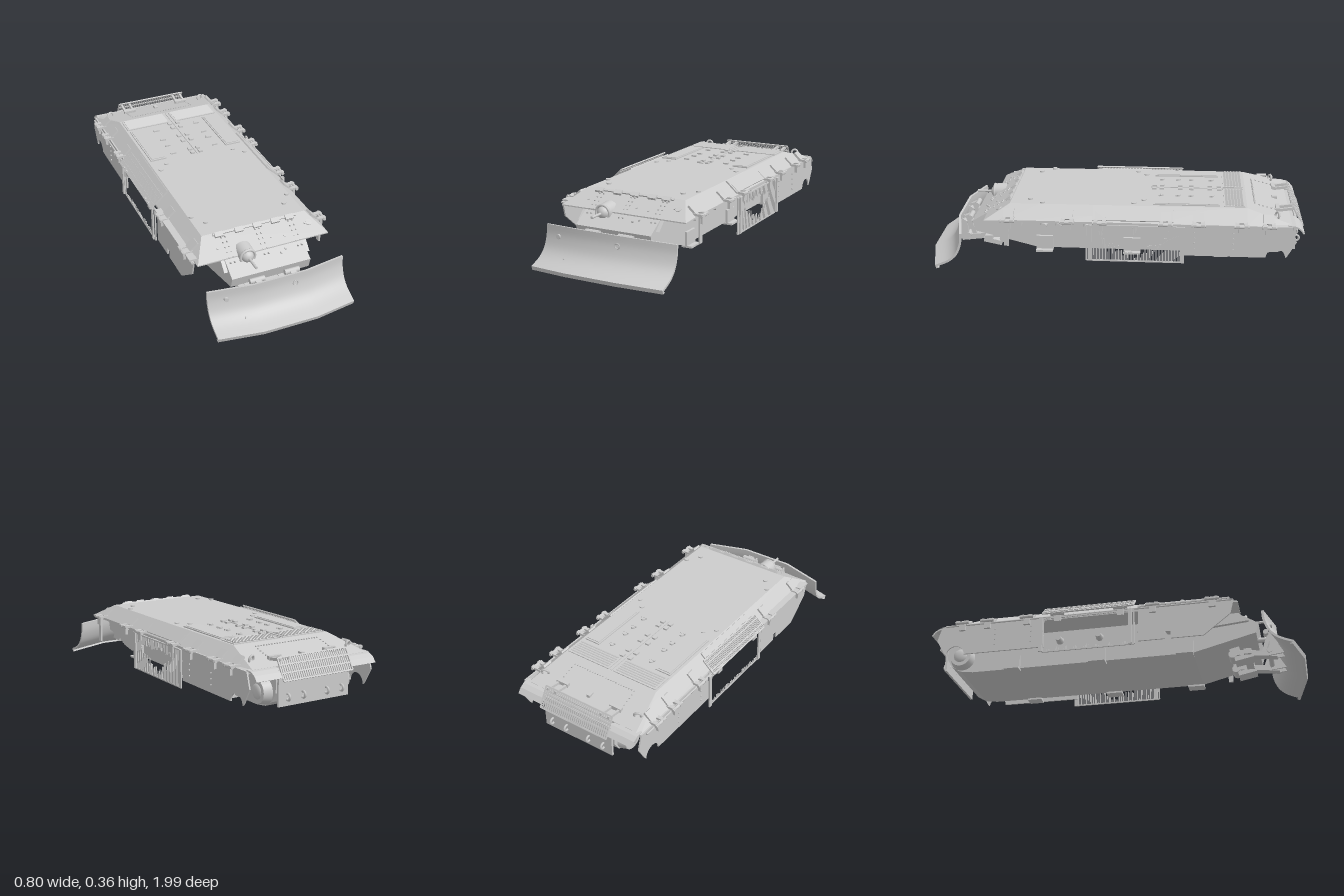
import * as THREE from 'three';
import { toCreasedNormals } from 'three/addons/utils/BufferGeometryUtils.js';

const mat = new THREE.MeshStandardMaterial({ color: 0xcccccc, side: THREE.DoubleSide });

function add(parent, name, geo, x = 0, y = 0, z = 0, rx = 0, ry = 0, rz = 0) {
  const m = new THREE.Mesh(geo, mat);
  m.name = name;
  m.position.set(x, y, z);
  m.rotation.set(rx, ry, rz);
  parent.add(m);
  return m;
}
const box = (w, h, d) => new THREE.BoxGeometry(w, h, d);
const cyl = (r, h, n = 12, r2 = r) => new THREE.CylinderGeometry(r2, r, h, n);
function group(parent, name, x = 0, y = 0, z = 0, rx = 0, ry = 0, rz = 0) {
  const g = new THREE.Group();
  g.name = name;
  g.position.set(x, y, z);
  g.rotation.set(rx, ry, rz);
  parent.add(g);
  return g;
}

// skin over matching rings of [x, y, z], closed at both ends
function loft(rings, crease = 0.5) {
  const pos = [], n = rings[0].length;
  const quad = (a, b, c, d) => pos.push(...a, ...b, ...c, ...a, ...c, ...d);
  for (let i = 0; i + 1 < rings.length; i++)
    for (let j = 0; j < n; j++) {
      const k = (j + 1) % n;
      quad(rings[i][j], rings[i + 1][j], rings[i + 1][k], rings[i][k]);
    }
  const s = rings[0], e = rings[rings.length - 1];
  for (let i = 0; i + 1 < n / 2; i++) {
    quad(s[i], s[i + 1], s[n - 2 - i], s[n - 1 - i]);
    quad(e[n - 1 - i], e[n - 2 - i], e[i + 1], e[i]);
  }
  const g = new THREE.BufferGeometry();
  g.setAttribute('position', new THREE.Float32BufferAttribute(pos, 3));
  return toCreasedNormals(g, crease);
}

// plate drawn as a shape in (z, y), given thickness along x and centred on x = 0
function sidePlate(shape, t) {
  const g = new THREE.ExtrudeGeometry(shape, { depth: t, bevelEnabled: false, curveSegments: 12 });
  return g.translate(0, 0, -t / 2).rotateY(-Math.PI / 2);
}
const poly = pts => new THREE.Shape(pts.map(p => new THREE.Vector2(p[0], p[1])));

function buildHull(root) {
  const hull = group(root, 'hull');
  const ring = (z, w, ys, t, yt) =>
    [[-w, 0.268, z], [w, 0.268, z], [w, ys, z], [t, yt, z], [-t, yt, z], [-w, ys, z]];
  add(hull, 'upperHull', loft([
    ring(0.68, 0.36, 0.273, 0.358, 0.274), ring(0.55, 0.36, 0.28, 0.285, 0.346),
    ring(-0.69, 0.36, 0.28, 0.285, 0.35), ring(-0.92, 0.36, 0.278, 0.335, 0.285)], 0.1));
  add(hull, 'lowerHull', sidePlate(poly([[0.42, 0.07], [0.755, 0.155], [0.77, 0.21], [0.66, 0.278],
    [-0.94, 0.275], [-0.94, 0.16], [-0.91, 0.11], [-0.86, 0.08], [-0.79, 0.07]]), 0.43));
  add(hull, 'rearPlate', box(0.42, 0.18, 0.012), 0, 0.185, -0.95);
  for (const s of [-1, 1]) {
    add(hull, 'finalDrive', cyl(0.07, 0.05, 28, 0.058), s * 0.235, 0.155, -0.85, 0, 0, -s * Math.PI / 2);
    add(hull, 'finalDriveHub', new THREE.SphereGeometry(0.04, 16, 10), s * 0.255, 0.155, -0.85).scale.x = 0.4;
    for (const z of [0.38, 0.3, 0.15, -0.08, -0.3, -0.52])
      add(hull, 'rollerStub', cyl(0.022, 0.05, 12, 0.015), s * 0.235, 0.21, z, 0, 0, -s * Math.PI / 2);
    for (const [z, w] of [[0.38, 0.09], [-0.09, 0.09], [-0.56, 0.08]]) {
      add(hull, 'suspensionBracket', box(0.014, 0.08, w), s * 0.222, 0.1, z);
      add(hull, 'suspensionFoot', box(0.06, 0.01, w), s * 0.225, 0.062, z);
    }
    // curved rear mudguard
    add(hull, 'rearMudguard', sidePlate(poly([[-0.9, 0.286], [-0.94, 0.282], [-0.965, 0.268], [-0.985, 0.243],
      [-0.979, 0.24], [-0.96, 0.262], [-0.935, 0.274], [-0.9, 0.276]]), 0.15), s * 0.28, 0, 0);
    for (const x of [0.07, 0.16])
      add(hull, 'towLug', new THREE.TorusGeometry(0.016, 0.006, 6, 14), s * x, 0.14, -0.963, 0, Math.PI / 2, 0);
  }
}

function buildDeck(root) {
  const deck = group(root, 'deck', 0, 0.351, 0);
  for (const s of [-1, 1]) {
    // engine louvres
    add(deck, 'louvreFrame', box(0.26, 0.006, 0.11), s * 0.145, 0, -0.625);
    for (let i = 0; i < 6; i++)
      add(deck, 'louvre', box(0.24, 0.003, 0.014), s * 0.145, 0.005, -0.665 + i * 0.016, 0.5);
    add(deck, 'longPanel', box(0.09, 0.008, 0.35), s * 0.225, 0, -0.375);
    add(deck, 'longPanelLid', box(0.074, 0.004, 0.33), s * 0.225, 0.005, -0.375);
    for (const z of [-0.55, -0.5, -0.4, -0.34, -0.24, -0.2])
      add(deck, 'hinge', box(0.022, 0.01, 0.024), s * 0.024, 0.002, z);
    for (const z of [-0.51, -0.4, -0.33, -0.24]) {
      add(deck, 'cap', cyl(0.012, 0.008), s * 0.125, 0.002, z);
      add(deck, 'capHandle', box(0.032, 0.008, 0.008), s * 0.125, 0.003, z + 0.01);
    }
    for (const [x, z] of [[0.2, -0.15], [0.25, -0.1], [0.22, 0.45], [0.27, 0.38]])
      add(deck, 'plug', cyl(0.013, 0.008, 16), s * x, -0.001, z);
    // rear slope fittings
    const slope = group(deck, 'rearSlopeFittings', 0, -0.032, -0.805, -0.275);
    for (let i = 0; i < 12; i++) add(slope, 'bolt', cyl(0.004, 0.006, 6), s * (0.01 + i * 0.016), 0.003, 0.075);
    for (let i = 0; i < 5; i++) add(slope, 'bolt', cyl(0.004, 0.006, 6), s * 0.19, 0.003, 0.05 - i * 0.022);
    add(slope, 'liftingEye', new THREE.TorusGeometry(0.018, 0.006, 6, 14), s * 0.29, 0.008, -0.04, 0, 0.4, 0);
  }
  add(deck, 'centreSeam', box(0.006, 0.004, 0.5), 0, 0, -0.43);
  add(deck, 'rearHook', box(0.02, 0.02, 0.03), 0, -0.045, -0.85);
}

function buildGlacis(root) {
  const g = group(root, 'glacis', 0, 0.28, 0.66, 0.555);
  for (const x of [-0.18, 0.005, 0.19])
    for (const dx of [-0.011, 0.011])
      for (let i = 0; i < 6; i++) add(g, 'bolt', cyl(0.006, 0.01, 8, 0.004), x + dx, 0.003, -0.095 + i * 0.028);
  for (const x of [-0.2, -0.09, 0.01, 0.11, 0.19])
    add(g, 'topHinge', box(0.045, 0.018, 0.026), x, 0.004, -0.112);
  add(g, 'topLip', box(0.46, 0.008, 0.012), 0, 0.003, -0.118);
  for (const [x, z] of [[0.08, 0.06], [0.11, 0.045], [0.13, -0.02], [-0.23, -0.04], [0.06, -0.03], [0.26, -0.06]])
    add(g, 'stud', cyl(0.006, 0.01, 8), x, 0.003, z);
  add(g, 'plugPlate', cyl(0.016, 0.006, 18), 0.28, 0.003, -0.06);
  // ball mount
  const b = group(root, 'ballMount', -0.1, 0.268, 0.665);
  add(b, 'mountCollar', new THREE.CylinderGeometry(0.042, 0.048, 0.07, 28, 1, true), 0, 0, 0, Math.PI / 2);
  add(b, 'mountRim', new THREE.TorusGeometry(0.039, 0.007, 8, 28), 0, 0, 0.035);
  add(b, 'mountBall', new THREE.SphereGeometry(0.034, 20, 14), 0, 0, 0.025);
  add(b, 'mountTube', cyl(0.007, 0.09), 0, 0, 0.09, Math.PI / 2);
  // fittings under the front overhang
  for (const s of [-1, 1]) add(root, 'frontGusset', sidePlate(poly([[0.5, 0.268], [0.67, 0.268], [0.72, 0.22], [0.5, 0.2]]), 0.02), s * 0.225);
}

function buildBlade(root) {
  const blade = group(root, 'dozerBlade');
  const curve = new THREE.SplineCurve([[0.857, 0.218], [0.862, 0.165], [0.886, 0.105], [0.93, 0.065], [0.998, 0.036]]
    .map(p => new THREE.Vector2(...p)));
  const face = curve.getPoints(16);
  const back = face.map((p, i) => {
    const t = curve.getTangent(i / 16);
    return new THREE.Vector2(p.x + t.y * 0.012, p.y - t.x * 0.012);
  });
  face.push(new THREE.Vector2(0.992, 0.015));
  back.push(new THREE.Vector2(0.975, 0.02));
  const profile = [...face, ...back.reverse()];
  const rings = [[0.38, -0.05, -0.015], [0.15, 0, 0], [-0.14, 0, 0], [-0.365, -0.05, -0.015]]
    .map(([x, dz, dy]) => profile.map(p => [x, p.y + dy, p.x + dz]));
  add(blade, 'bladePlate', loft(rings, 0.35));
  add(blade, 'bladeRing', new THREE.TorusGeometry(0.013, 0.003, 6, 20), 0.085, 0.168, 0.864);
  add(blade, 'bladeEye', cyl(0.012, 0.012, 16), -0.275, 0.155, 0.835, Math.PI / 2);
  add(blade, 'bladeStud', cyl(0.006, 0.012, 8), -0.2, 0.07, 0.905, 0.9);

  // push arms, joints and carrier behind the blade
  add(blade, 'crossBeam', box(0.3, 0.03, 0.04), 0, 0.085, 0.7);
  add(blade, 'crossTube', cyl(0.014, 0.26), 0, 0.09, 0.815, 0, 0, Math.PI / 2);
  for (const s of [-1, 1]) {
    const arm = group(blade, 'pushArm', s * 0.095);
    add(arm, 'armBeam', box(0.045, 0.03, 0.25), 0, 0.085, 0.73, 0.12);
    add(arm, 'armFoot', box(0.08, 0.025, 0.1), 0, 0.06, 0.68, -0.2);
    add(arm, 'armPivot', cyl(0.022, 0.085), 0, 0.08, 0.62, 0, 0, Math.PI / 2);
    add(arm, 'liftLink', box(0.03, 0.13, 0.022), 0, 0.14, 0.8, 0.35);
    add(arm, 'liftPin', cyl(0.014, 0.08), 0, 0.195, 0.8, 0, 0, Math.PI / 2);
    add(arm, 'liftCylinder', cyl(0.014, 0.1), 0, 0.165, 0.79, Math.PI / 2);
    for (const d of [-0.026, 0.026])
      add(arm, 'bladeLug', sidePlate(poly([[0.81, 0.06], [0.89, 0.07], [0.862, 0.12], [0.85, 0.19], [0.82, 0.17]]), 0.009), d);
    add(arm, 'hullBracket', box(0.05, 0.06, 0.05), 0, 0.11, 0.63);
  }
}

// rectangular screen in local x/y with upright slats; cut(t) returns the [low, high] gap as fractions
function screen(parent, name, w, h, count, cut) {
  const g = group(parent, name);
  for (const s of [-1, 1]) {
    add(g, 'frameRail', box(w, 0.007, 0.007), 0, s * h / 2, 0);
    add(g, 'framePost', box(0.007, h, 0.007), s * w / 2, 0, 0);
  }
  for (let i = 1; i < count; i++) {
    const t = i / count, x = (t - 0.5) * w, [lo, hi] = cut(t, i);
    for (const [a, b] of lo >= hi ? [[0, 1]] : [[0, lo], [hi, 1]])
      if (b - a > 0.02) add(g, 'slat', box(w / count * 0.55, (b - a) * h, 0.004), x, ((a + b) / 2 - 0.5) * h, 0);
  }
  return g;
}

function buildSides(root) {
  let seed = 7;
  const rnd = () => (seed = (seed * 16807) % 2147483647) / 2147483647;
  for (const s of [-1, 1]) {
    const side = group(root, s > 0 ? 'leftSide' : 'rightSide');
    // rear skirt with a notch at the final drive
    const sh = poly([[-0.35, 0.282], [-0.35, 0.11], [-0.78, 0.11]]);
    sh.absarc(-0.84, 0.11, 0.05, 0, Math.PI, false);
    sh.lineTo(-0.9, 0.12).lineTo(-0.945, 0.2).lineTo(-0.92, 0.282);
    add(side, 'rearSkirt', sidePlate(sh, 0.008), s * 0.364);
    for (const z of [-0.42, -0.62])
      for (let i = 0; i < 4; i++) add(side, 'skirtBolt', cyl(0.005, 0.008, 6), s * 0.37, 0.15 + i * 0.03, z, 0, 0, Math.PI / 2);
    // hinge brackets along the shoulder
    for (const z of [-0.8, -0.66, -0.44, -0.27, 0.07, 0.24, 0.55]) {
      const b = group(side, 'shoulderBracket', 0, 0, z);
      add(b, 'bracketArm', box(0.06, 0.012, 0.02), s * 0.37, 0.288, -0.022);
      add(b, 'bracketArm', box(0.06, 0.012, 0.02), s * 0.37, 0.288, 0.022);
      add(b, 'bracketPlate', box(0.055, 0.012, 0.055), s * 0.335, 0.308, 0, 0, 0, -s * 0.74);
      add(b, 'bracketPin', cyl(0.009, 0.075), s * 0.39, 0.286, 0, Math.PI / 2);
      add(b, 'bracketHook', box(0.014, 0.045, 0.035), s * 0.382, 0.265, 0);
    }
    for (const z of [0.12, -0.36]) add(side, 'hangerStrap', box(0.008, 0.2, 0.02), s * 0.386, 0.175, z);
    add(side, 'shoulderPanel', box(0.085, 0.008, 0.42), s * 0.324, 0.318, -0.1, 0, 0, -s * 0.74);
  }
  // torn hanging screens
  const sparse = screen(root, 'leftScreen', 0.49, 0.195, 64, t => {
    const mid = Math.sin(Math.PI * Math.min(1, Math.max(0, (t - 0.12) / 0.75)));
    return [0.75 - mid * (0.35 + 0.35 * rnd()), 0.7 + mid * 0.25 * rnd()];
  });
  sparse.position.set(0.378, 0.172, -0.105);
  sparse.rotation.y = Math.PI / 2;
  const open = screen(root, 'rightScreen', 0.49, 0.195, 64, () => [0.04 + 0.1 * rnd(), 0.97]);
  open.position.set(-0.378, 0.172, -0.105);
  open.rotation.y = -Math.PI / 2;
  // raised screen leaning on the shoulder
  const up = group(root, 'raisedScreen', -0.368, 0.316, -0.105, 0, 0, 0.75);
  const mesh = screen(up, 'raisedScreenMesh', 0.49, 0.085, 56, () => [1, 0]);
  mesh.rotation.set(-Math.PI / 2, 0, Math.PI / 2);
  for (const x of [-0.02, 0.02]) add(up, 'meshBar', box(0.006, 0.008, 0.49), x, 0, 0);
  // front skirt, fender and long rail on the right side, strap on the left
  add(root, 'frontSkirt', sidePlate(poly([[0.16, 0.28], [0.16, 0.09], [0.3, 0.09], [0.3, 0.13], [0.33, 0.13],
    [0.33, 0.09], [0.5, 0.09], [0.64, 0.2], [0.66, 0.28]]), 0.008), -0.37);
  add(root, 'frontFender', box(0.07, 0.008, 0.48), -0.352, 0.284, 0.4);
  add(root, 'sideRail', cyl(0.005, 1.55, 8), -0.378, 0.276, -0.12, Math.PI / 2);
  add(root, 'frontStrap', box(0.01, 0.135, 0.026), 0.375, 0.21, 0.56);
}

function buildRearRack(root) {
  const rack = screen(root, 'rearRack', 0.41, 0.115, 34, () => [1, 0]);
  rack.position.set(0, 0.278, -0.962);
  rack.rotation.x = 0.52;
  add(rack, 'rackBar', box(0.41, 0.007, 0.008), 0, 0.02, 0);
  add(rack, 'rackBar', box(0.41, 0.007, 0.008), 0, -0.02, 0);
  for (const s of [-1, 1]) {
    const arm = group(root, 'rackArm', s * 0.165);
    for (const d of [-0.024, 0.024]) add(arm, 'rackStrut', box(0.012, 0.014, 0.1), d, 0.312, -0.895, 0.15);
    add(arm, 'rackFoot', box(0.07, 0.025, 0.02), 0, 0.308, -0.855);
  }
}

export function createModel() {
  const root = new THREE.Group();
  root.name = 'armouredDozer';
  [buildHull, buildDeck, buildGlacis, buildBlade, buildSides, buildRearRack].forEach(f => f(root));
  return root;
}
